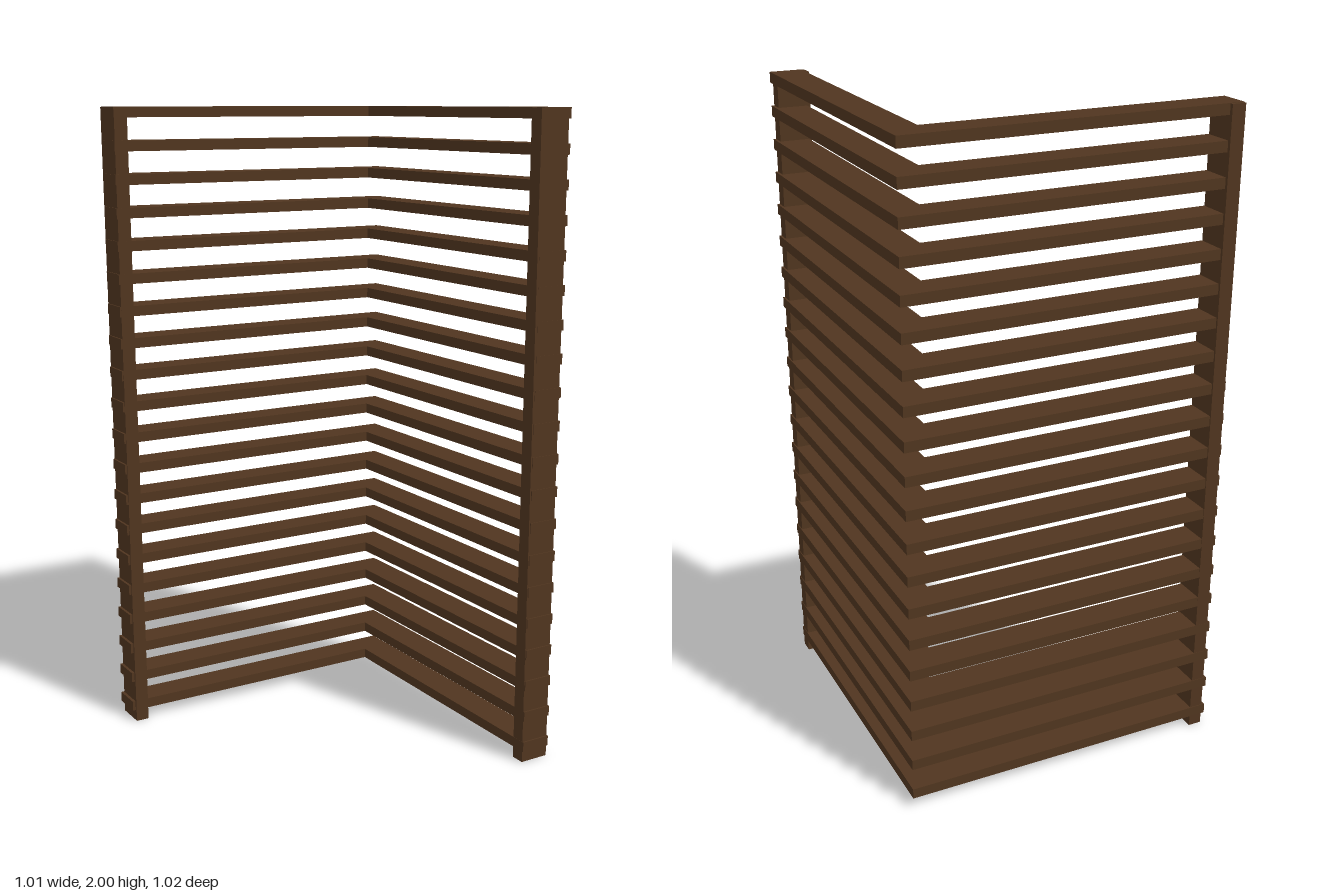
import * as THREE from 'three';

const wood = new THREE.MeshStandardMaterial({ color: 0x50351f, flatShading: true });

// Slightly leaning post: a box whose lower and upper ends have different x/z ranges
function post(name, bottom, top, height) {
  const g = new THREE.BoxGeometry(1, 1, 1);
  const p = g.attributes.position;
  for (let i = 0; i < p.count; i++) {
    const [x0, x1, z0, z1] = p.getY(i) > 0 ? top : bottom;
    p.setXYZ(i, p.getX(i) > 0 ? x1 : x0, p.getY(i) > 0 ? height : 0, p.getZ(i) > 0 ? z1 : z0);
  }
  g.computeVertexNormals();
  const m = new THREE.Mesh(g, wood);
  m.name = name;
  return m;
}

export function createModel() {
  const model = new THREE.Group();
  model.name = 'slattedCornerScreen';

  // L-shaped slat outline, drawn as (x, -z) and laid flat
  const outline = new THREE.Shape([
    [-0.51, 0.407], [0.407, 0.407], [0.407, -0.51],
    [0.505, -0.51], [0.505, 0.503], [-0.51, 0.503],
  ].map(([x, y]) => new THREE.Vector2(x, y)));
  const thickness = 0.032;
  const slatGeo = new THREE.ExtrudeGeometry(outline, { depth: thickness, bevelEnabled: false });
  slatGeo.rotateX(-Math.PI / 2);

  // Stack of evenly spaced slats
  const slats = new THREE.Group();
  slats.name = 'slats';
  const count = 20;
  for (let i = 0; i < count; i++) {
    const slat = new THREE.Mesh(slatGeo, wood);
    slat.name = 'slat';
    slat.position.y = 0.036 + (i * (2 - thickness - 0.036)) / (count - 1);
    slats.add(slat);
  }
  model.add(slats);

  // Upright posts at the free ends of the two wings
  model.add(post('backWingPost',
    [-0.5, -0.458, -0.5, -0.4], [-0.508, -0.465, -0.514, -0.41], 1.999));
  model.add(post('sideWingPost',
    [0.408, 0.504, 0.46, 0.504], [0.396, 0.496, 0.467, 0.511], 1.999));
  return model;
}
